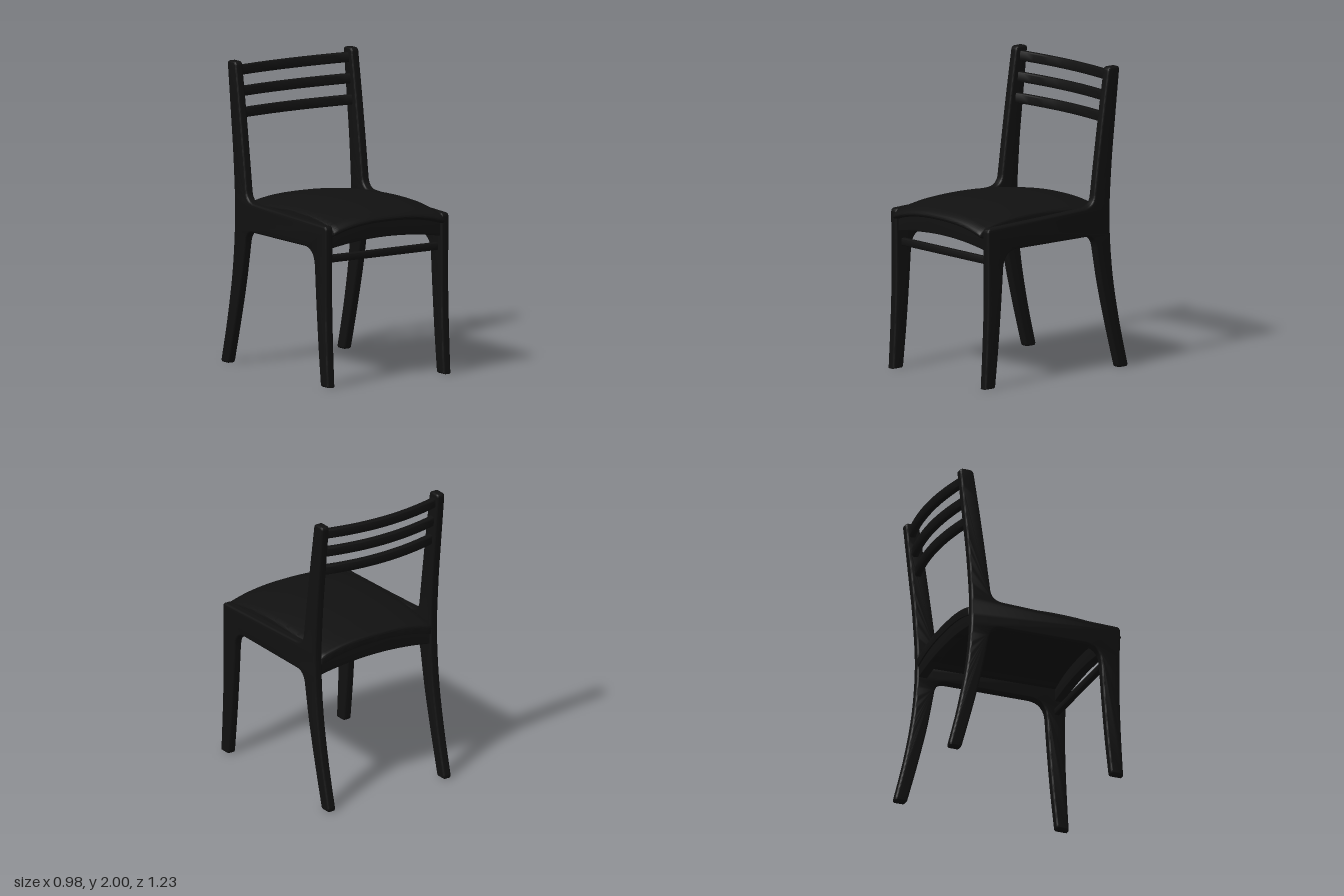
import * as THREE from 'three';
import { toCreasedNormals } from 'three/addons/utils/BufferGeometryUtils.js';
import { RoundedBoxGeometry } from 'three/addons/geometries/RoundedBoxGeometry.js';

const material = new THREE.MeshStandardMaterial({ color: 0x111111 });

// Extrusion with rounded edges, centred on its depth, kept inside the drawn outline
function roundedExtrude(shape, depth, bevel, steps = 1) {
  const geometry = new THREE.ExtrudeGeometry(shape, {
    depth: depth - 2 * bevel, steps, curveSegments: 14,
    bevelEnabled: true, bevelSize: bevel, bevelThickness: bevel, bevelOffset: -bevel, bevelSegments: 4,
  });
  return geometry.translate(0, 0, bevel - depth / 2);
}

function addMesh(parent, name, geometry, x = 0, y = 0, z = 0) {
  const mesh = new THREE.Mesh(toCreasedNormals(geometry, 0.6), material);
  mesh.name = name;
  mesh.position.set(x, y, z);
  parent.add(mesh);
  return mesh;
}

const points = (list) => list.map(([a, b]) => new THREE.Vector2(a, b));

// Front leg, side rail, back leg and back post as one outline in (z, y)
function sideFrameGeometry() {
  const s = new THREE.Shape();
  s.moveTo(0.61, 0);
  s.splineThru(points([[0.594, 0.3], [0.585, 0.6], [0.588, 1.03]]));
  s.quadraticCurveTo(0.588, 1.06, 0.56, 1.06);
  s.lineTo(0.1, 1.075);
  s.lineTo(-0.24, 1.09);
  s.quadraticCurveTo(-0.315, 1.095, -0.325, 1.16);
  s.splineThru(points([[-0.36, 1.42], [-0.4, 1.7], [-0.443, 1.975]]));
  s.quadraticCurveTo(-0.447, 2, -0.475, 2);
  s.lineTo(-0.515, 2);
  s.quadraticCurveTo(-0.543, 2, -0.54, 1.975);
  s.splineThru(points([[-0.505, 1.65], [-0.475, 1.35], [-0.458, 1.0], [-0.482, 0.65], [-0.54, 0.32], [-0.612, 0.02]]));
  s.quadraticCurveTo(-0.612, 0, -0.6, 0);
  s.lineTo(-0.545, 0);
  s.quadraticCurveTo(-0.53, 0, -0.525, 0.02);
  s.splineThru(points([[-0.45, 0.3], [-0.385, 0.57], [-0.34, 0.81]]));
  s.quadraticCurveTo(-0.328, 0.895, -0.26, 0.9);
  s.lineTo(0.34, 0.9);
  s.quadraticCurveTo(0.447, 0.895, 0.455, 0.78);
  s.splineThru(points([[0.472, 0.54], [0.495, 0.27], [0.522, 0.02]]));
  s.quadraticCurveTo(0.524, 0, 0.54, 0);
  s.closePath();
  return roundedExtrude(s, 0.06, 0.014).rotateY(-Math.PI / 2);
}

// Padded seat: side outline stretched across x, then crowned in the middle
function seatGeometry() {
  const halfWidth = 0.437;
  const s = new THREE.Shape();
  s.moveTo(-0.46, 1.04);
  s.lineTo(0.57, 1.05);
  s.quadraticCurveTo(0.615, 1.05, 0.615, 1.072);
  s.quadraticCurveTo(0.61, 1.095, 0.56, 1.115);
  s.splineThru(points([[0.46, 1.137], [0.3, 1.157], [0.08, 1.163], [-0.15, 1.15], [-0.34, 1.124], [-0.44, 1.105]]));
  s.quadraticCurveTo(-0.465, 1.1, -0.465, 1.08);
  s.closePath();
  const geometry = roundedExtrude(s, 2 * halfWidth, 0.012, 28).rotateY(-Math.PI / 2);
  const p = geometry.attributes.position;
  for (let i = 0; i < p.count; i++) {
    const t = Math.min(1, Math.abs(p.getX(i)) / halfWidth);
    p.setY(i, p.getY(i) - 0.06 * t ** 2.5);
  }
  return geometry;
}

// Cross rail under the seat with arched top and bottom
function apronGeometry() {
  const s = new THREE.Shape();
  s.moveTo(-0.45, 0.905);
  s.quadraticCurveTo(0, 0.99, 0.45, 0.905);
  s.lineTo(0.45, 1.0);
  s.quadraticCurveTo(0, 1.13, -0.45, 1.0);
  s.closePath();
  return roundedExtrude(s, 0.06, 0.008);
}

// Back slat: a band bowed backwards in plan
function slatGeometry() {
  const s = new THREE.Shape();
  s.moveTo(-0.45, 0.025);
  s.quadraticCurveTo(0, -0.09, 0.45, 0.025);
  s.lineTo(0.45, 0.069);
  s.quadraticCurveTo(0, -0.046, -0.45, 0.069);
  s.closePath();
  return roundedExtrude(s, 0.066, 0.012).rotateX(Math.PI / 2);
}

export function createModel() {
  const chair = new THREE.Group();
  chair.name = 'chair';

  for (const side of [-1, 1]) {
    addMesh(chair, side > 0 ? 'leftSideFrame' : 'rightSideFrame', sideFrameGeometry(), side * 0.458);
  }

  addMesh(chair, 'seat', seatGeometry());
  addMesh(chair, 'frontApron', apronGeometry(), 0, 0, 0.54);
  addMesh(chair, 'backApron', apronGeometry(), 0, 0, -0.42);
  addMesh(chair, 'frontStretcher', new RoundedBoxGeometry(0.9, 0.05, 0.04, 4, 0.012), 0, 0.836, 0.525);

  // Three slats leaning with the back posts
  [[1.93, -0.537], [1.793, -0.518], [1.656, -0.498]].forEach(([y, z], i) => {
    const slat = addMesh(chair, 'backSlat' + (i + 1), slatGeometry(), 0, y, z);
    slat.rotation.x = -0.1;
  });

  return chair;
}
